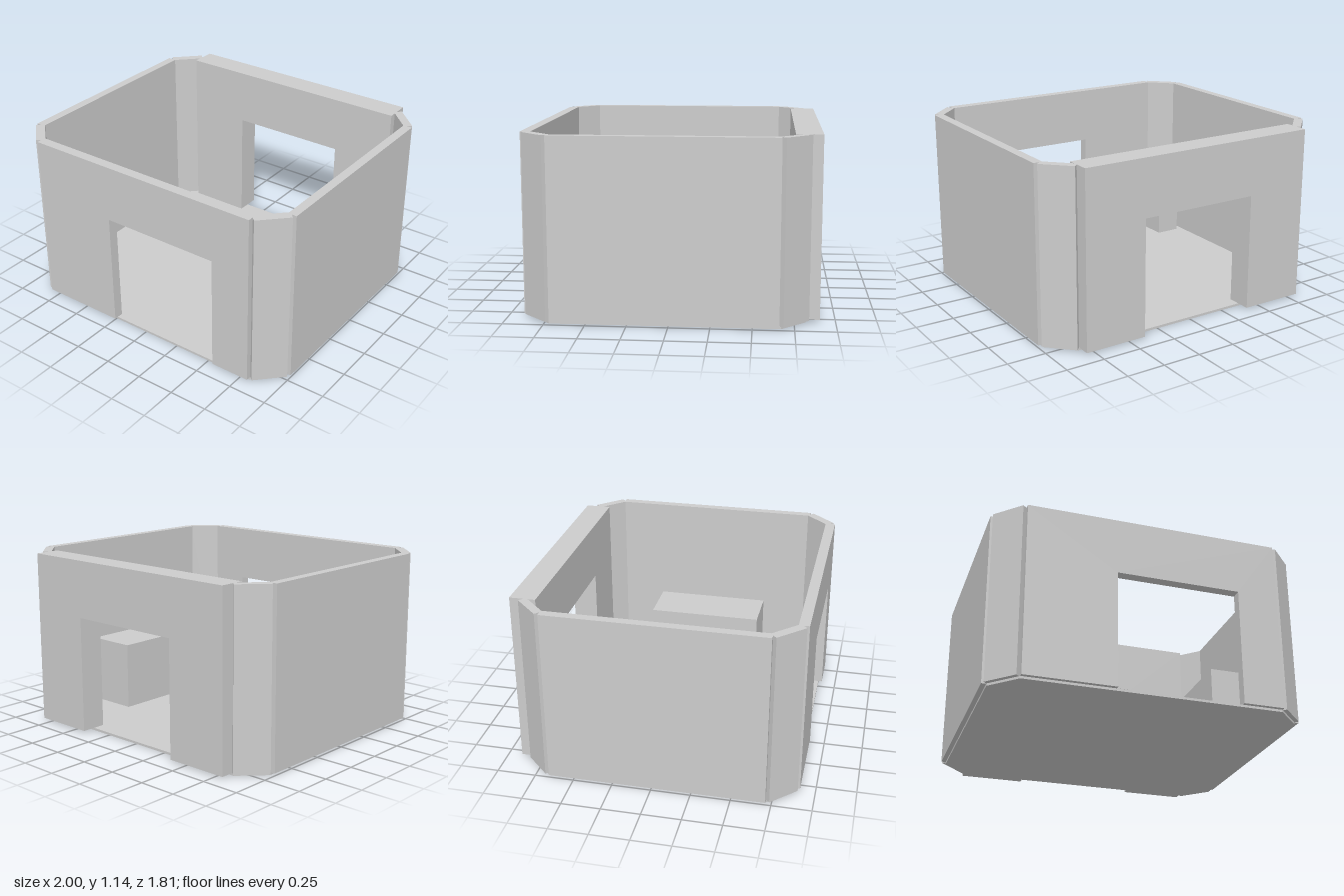
import * as THREE from 'three';

export function createModel() {
  const group = new THREE.Group();
  group.name = 'room';
  const plaster = new THREE.MeshStandardMaterial({ color: 0xcccccc });
  plaster.name = 'plaster grey';

  const BASE = 0.015; // top of floor slab
  const TOP = 1.14;   // top of walls
  const DOOR = 0.77;  // underside of the lintels

  const add = (name, geometry) => {
    const mesh = new THREE.Mesh(geometry, plaster);
    mesh.name = name;
    group.add(mesh);
    return mesh;
  };

  // Box given by its limits
  const block = (name, x0, x1, y0, y1, z0, z1) =>
    add(name, new THREE.BoxGeometry(x1 - x0, y1 - y0, z1 - z0))
      .position.set((x0 + x1) / 2, (y0 + y1) / 2, (z0 + z1) / 2);

  // Plan outline [x, z] raised from y0 to y1
  const raise = (name, points, y0, y1) => {
    const shape = new THREE.Shape(points.map(([x, z]) => new THREE.Vector2(x, -z)));
    const geometry = new THREE.ExtrudeGeometry(shape, { depth: y1 - y0, bevelEnabled: false });
    geometry.rotateX(-Math.PI / 2);
    geometry.translate(0, y0, 0);
    add(name, geometry);
  };

  // Wall with a doorway cut up from its bottom edge
  const doorWall = (name, d0, d1, z0, z1) => {
    const w = 0.81;
    const shape = new THREE.Shape([
      [-w, BASE], [d0, BASE], [d0, DOOR], [d1, DOOR],
      [d1, BASE], [w, BASE], [w, TOP], [-w, TOP],
    ].map(([x, y]) => new THREE.Vector2(x, y)));
    const geometry = new THREE.ExtrudeGeometry(shape, { depth: z1 - z0, bevelEnabled: false });
    geometry.translate(0, 0, z0);
    add(name, geometry);
  };

  // Floor slab with cut corners
  raise('floor', [
    [-0.81, 0.88], [0.81, 0.88], [0.97, 0.72], [0.97, -0.67],
    [0.82, -0.82], [-0.82, -0.82], [-0.97, -0.67], [-0.97, 0.72],
  ], 0, BASE);

  // Main walls
  doorWall('frontWall', -0.24, 0.55, 0.84, 0.905);
  doorWall('backWall', -0.39, 0.4, -0.905, -0.74);
  block('leftWall', 0.942, 1, BASE, TOP, -0.66, 0.715);
  block('rightWall', -1, -0.942, BASE, TOP, -0.66, 0.715);

  // Diagonal corner panels
  for (const [side, s] of [['left', 1], ['right', -1]]) {
    const mirror = (points) => points.map(([x, z]) => [s * x, z]);
    raise(side + 'FrontCorner', mirror([
      [0.99, 0.738], [0.835, 0.893], [0.793, 0.851], [0.948, 0.696],
    ]), BASE, TOP);
    raise(side + 'BackCorner', mirror([
      [0.99, -0.685], [0.835, -0.84], [0.796, -0.801], [0.951, -0.646],
    ]), BASE, TOP);
  }

  // Furniture blocks
  block('table', 0.56, 0.89, BASE, 0.46, -0.36, 0.41);
  block('cabinet', -0.9, -0.73, BASE, 0.4, 0.57, 0.81);

  return group;
}
